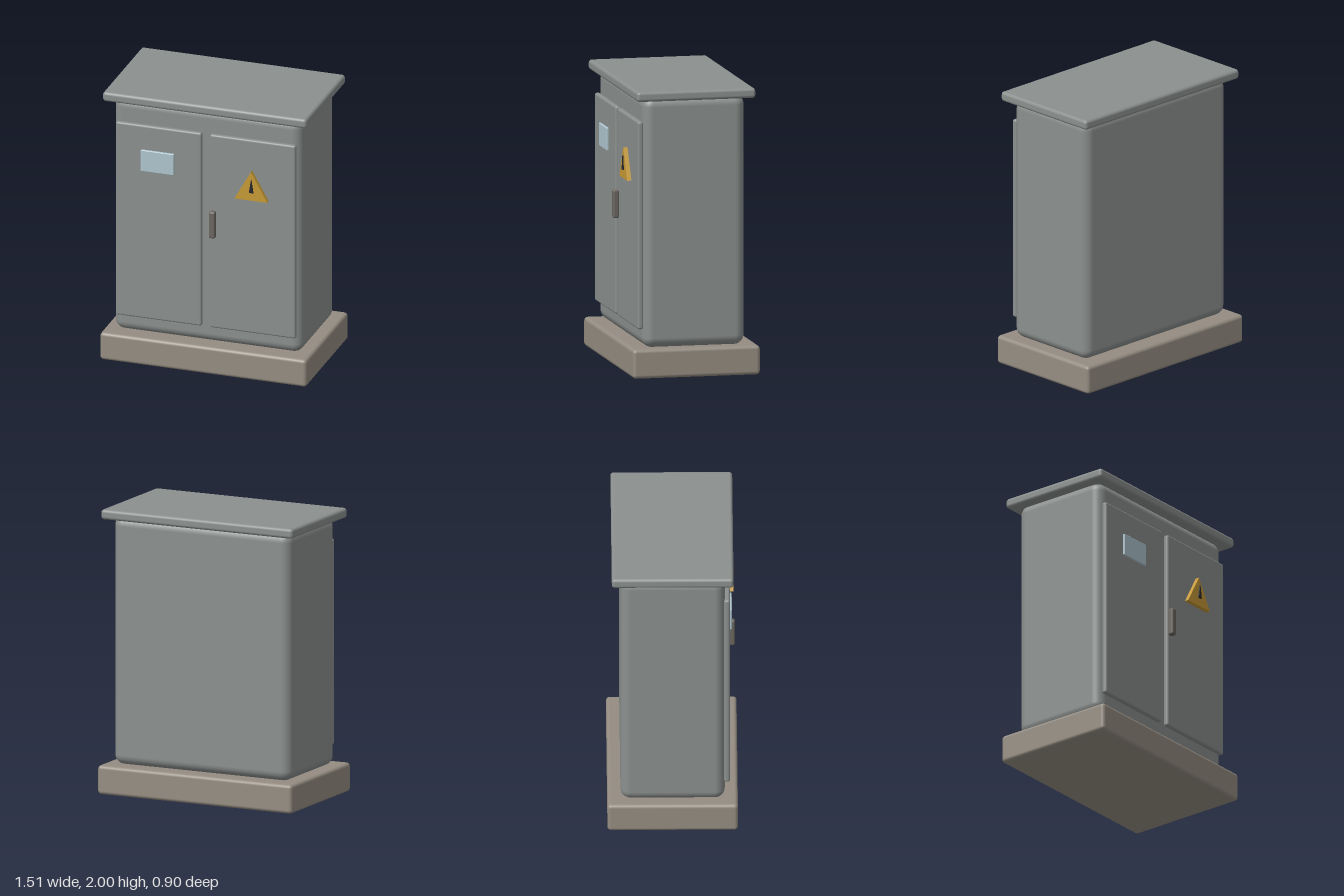
import * as THREE from 'three';
import { RoundedBoxGeometry } from 'three/addons/geometries/RoundedBoxGeometry.js';

const mat = (color) => new THREE.MeshStandardMaterial({ color });

export function createModel() {
  const group = new THREE.Group();
  const steel = mat(0x8b908e), concrete = mat(0x958d82), metal = mat(0x6b665f);
  const glass = mat(0xafc5cf), yellow = mat(0xc79a35), black = mat(0x25272b);

  const add = (name, geometry, material) => {
    const mesh = new THREE.Mesh(geometry, material);
    mesh.name = name;
    group.add(mesh);
    return mesh;
  };

  // Rounded box given by its [min, max] range on each axis
  const box = (name, x, y, z, radius, material) => {
    const size = [x, y, z].map(([a, b]) => b - a);
    const mesh = add(name, new RoundedBoxGeometry(...size, 4, radius), material);
    mesh.position.set(...[x, y, z].map(([a, b]) => (a + b) / 2));
    return mesh;
  };

  // Upright triangle plate, extruded forward from z0 to z1
  const triangle = (name, cx, halfWidth, y0, y1, z0, z1, material) => {
    const shape = new THREE.Shape([
      new THREE.Vector2(cx - halfWidth, y0),
      new THREE.Vector2(cx + halfWidth, y0),
      new THREE.Vector2(cx, y1),
    ]);
    const geometry = new THREE.ExtrudeGeometry(shape, { depth: z1 - z0, bevelEnabled: false });
    add(name, geometry.translate(0, 0, z0), material);
  };

  // Plinth, cabinet and overhanging roof
  box('plinth', [-0.753, 0.753], [0, 0.203], [-0.45, 0.45], 0.025, concrete);
  box('cabinetBody', [-0.685, 0.685], [0.2, 1.95], [-0.36, 0.36], 0.07, steel);
  box('roof', [-0.743, 0.743], [1.93, 2], [-0.42, 0.42], 0.022, steel);

  // Pair of doors
  for (const [name, side] of [['rightDoor', -1], ['leftDoor', 1]]) {
    const door = box(name, [0.03, 0.655], [0.33, 1.78], [0.355, 0.395], 0.015, steel);
    door.position.x *= side;
  }

  // Inspection window and door handle
  box('window', [-0.468, -0.226], [1.44, 1.6], [0.38, 0.41], 0.006, glass);
  box('handle', [0.036, 0.08], [1.017, 1.215], [0.39, 0.434], 0.012, metal);

  // Warning sign with its dark mark
  triangle('warningSign', 0.341, 0.12, 1.34, 1.555, 0.39, 0.425, yellow);
  triangle('warningMark', 0.345, 0.016, 1.4, 1.5, 0.42, 0.434, black);

  return group;
}
